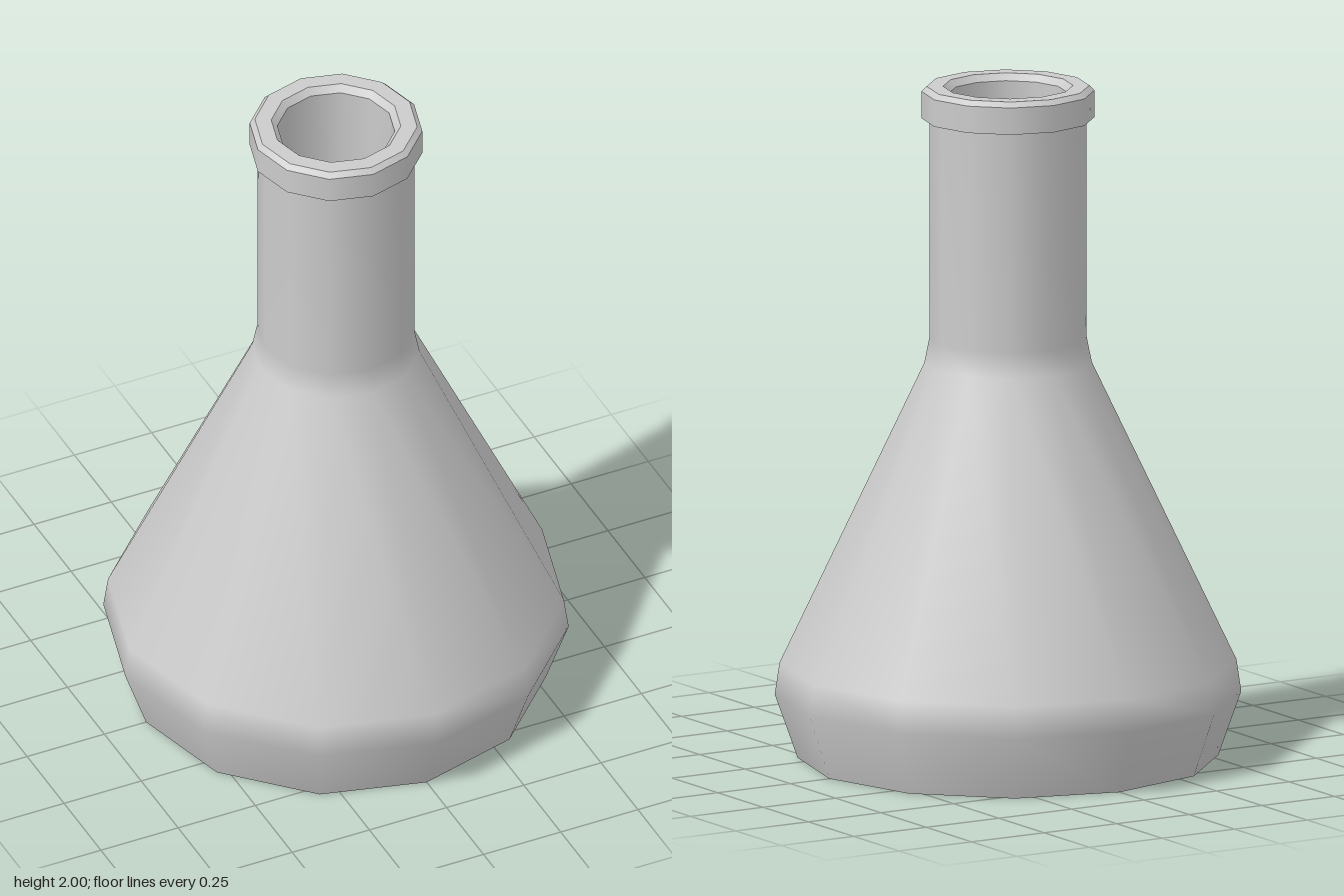
import * as THREE from 'three';

const SIDES = 12;

export function createModel() {
  const group = new THREE.Group();
  group.name = 'flask';
  const material = new THREE.MeshStandardMaterial({ color: 0xcccccc });

  // Each profile is one smooth run of [radius, height]; edges between runs stay sharp.
  const turn = (name, profile) => {
    const points = profile.map(([r, y]) => new THREE.Vector2(r, y));
    const mesh = new THREE.Mesh(new THREE.LatheGeometry(points, SIDES), material);
    mesh.name = name;
    group.add(mesh);
  };

  // Outside: flat base, then the conical body running into the neck
  turn('base', [[0, 0], [0.615, 0]]);
  turn('body', [[0.615, 0], [0.682, 0.19], [0.668, 0.285], [0.245, 1.175], [0.23, 1.25], [0.23, 1.905]]);

  // Lip with a small bevel around its top
  turn('lipUnderside', [[0.23, 1.905], [0.253, 1.905]]);
  turn('lipSide', [[0.253, 1.905], [0.253, 1.985]]);
  turn('lipBevel', [[0.253, 1.985], [0.238, 2]]);
  turn('lipTop', [[0.238, 2], [0.19, 2]]);

  // Inside: flared mouth, neck bore widening into the body, and the floor
  turn('mouth', [[0.19, 2], [0.172, 1.98]]);
  turn('innerWall', [[0.172, 1.98], [0.172, 1.25], [0.19, 1.16], [0.61, 0.275], [0.622, 0.19], [0.57, 0.05]]);
  turn('innerFloor', [[0.57, 0.05], [0, 0.05]]);

  return group;
}
